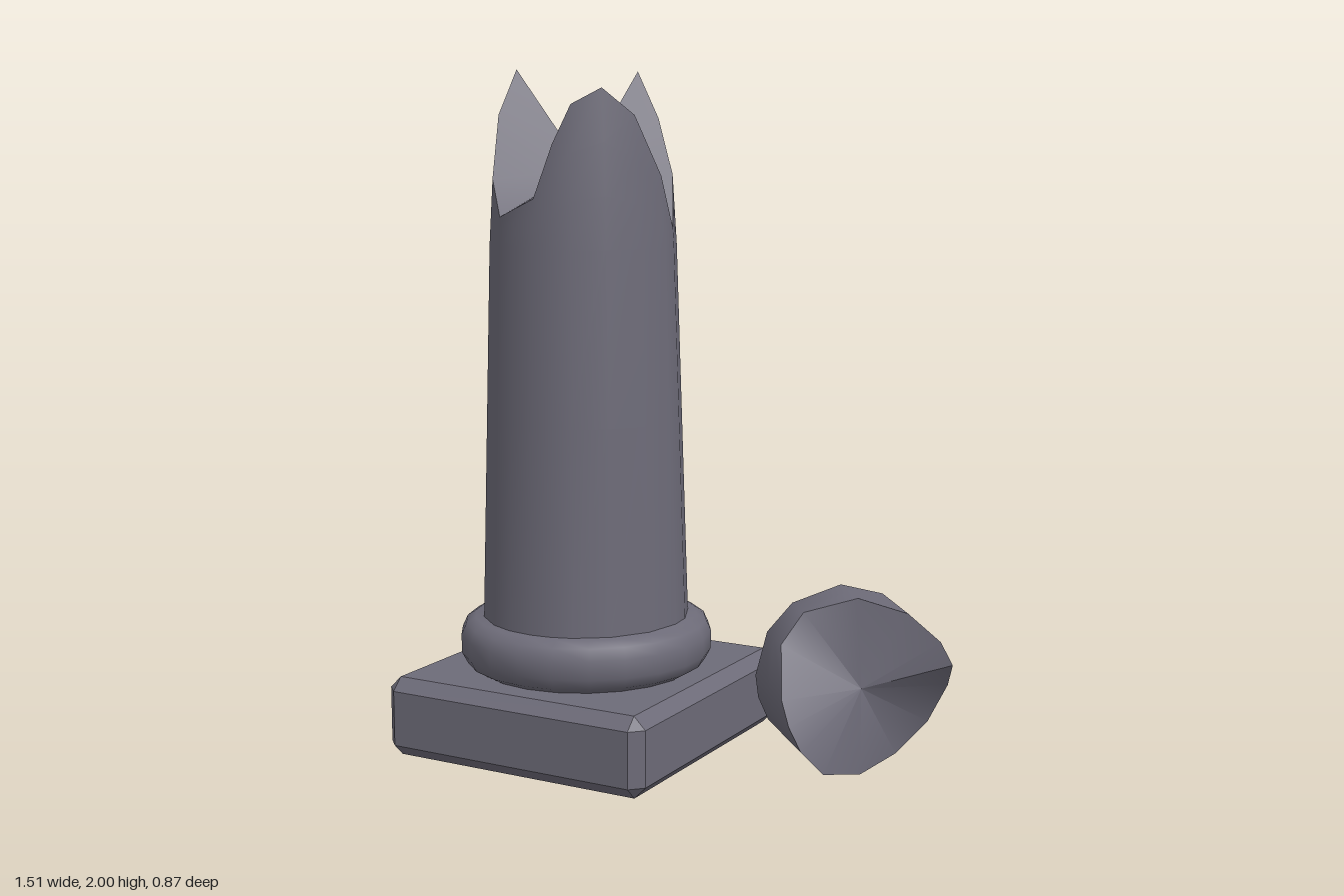
import * as THREE from 'three';
import { toCreasedNormals } from 'three/addons/utils/BufferGeometryUtils.js';
import { ConvexGeometry } from 'three/addons/geometries/ConvexGeometry.js';

const stone = new THREE.MeshStandardMaterial({ color: 0x6d6b78 });
stone.name = 'grey stone';

function add(parent, geometry, name) {
  const mesh = new THREE.Mesh(geometry, stone);
  mesh.name = name;
  parent.add(mesh);
  return mesh;
}

// Piecewise-linear lookup in a list of [key, value] pairs
function lookup(table, x) {
  const last = table.length - 1;
  if (x <= table[0][0]) return table[0][1];
  for (let i = 0; i < last; i++) {
    const [x0, y0] = table[i], [x1, y1] = table[i + 1];
    if (x <= x1) return y0 + (y1 - y0) * (x - x0) / (x1 - x0);
  }
  return table[last][1];
}

// Round drum along +y with a jagged end: rim is [angle in degrees, height],
// levels are fixed ring heights, the broken face is a fan round a centre point
function brokenDrum(rim, levels, radii, centreHeight, steps) {
  const n = rim.length, pos = [], index = [];
  const rings = levels.length + steps;
  const top = levels[levels.length - 1];
  for (let r = 0; r < rings; r++) {
    for (const [deg, h] of rim) {
      const a = THREE.MathUtils.degToRad(deg);
      const y = r < levels.length ? levels[r]
        : top + (h - top) * (r - levels.length + 1) / steps;
      const radius = lookup(radii, y);
      pos.push(radius * Math.cos(a), y, radius * Math.sin(a));
    }
  }
  const bottomCentre = rings * n, topCentre = bottomCentre + 1;
  pos.push(0, levels[0], 0, 0, centreHeight, 0);
  for (let i = 0; i < n; i++) {
    const j = (i + 1) % n;
    for (let r = 0; r < rings - 1; r++) {
      const a = r * n + i, b = r * n + j;
      index.push(a, a + n, b, b, a + n, b + n);
    }
    const e = (rings - 1) * n;
    index.push(bottomCentre, i, j, topCentre, e + j, e + i);
  }
  const g = new THREE.BufferGeometry();
  g.setAttribute('position', new THREE.Float32BufferAttribute(pos, 3));
  g.setIndex(index);
  return toCreasedNormals(g, 0.6);
}

// Box with every edge and corner cut off by c
function chamferedBox(w, h, d, c) {
  const points = [];
  for (const x of [-1, 1]) for (const y of [-1, 1]) for (const z of [-1, 1]) {
    for (let k = 0; k < 3; k++) {
      points.push(new THREE.Vector3(
        x * (w / 2 - (k === 0 ? 0 : c)),
        y * (h / 2 - (k === 1 ? 0 : c)),
        z * (d / 2 - (k === 2 ? 0 : c))));
    }
  }
  return new ConvexGeometry(points);
}

export function createModel() {
  const model = new THREE.Group();
  model.name = 'brokenColumn';

  const column = new THREE.Group();
  column.name = 'column';
  column.position.x = -0.325;
  model.add(column);

  // Square plinth
  add(column, chamferedBox(0.86, 0.235, 0.86, 0.036), 'plinth').position.y = 0.1325;

  // Rounded ring under the shaft
  const profile = [[0, 0.25], [0.325, 0.25], [0.355, 0.268], [0.372, 0.3], [0.373, 0.355],
    [0.358, 0.388], [0.33, 0.405], [0, 0.405]].map(([x, y]) => new THREE.Vector2(x, y));
  add(column, toCreasedNormals(new THREE.LatheGeometry(profile, 22), 0.7), 'baseRing');

  // Tapered shaft with three broken peaks
  const shaftRim = [[0, 1.7], [22, 1.87], [45, 1.945], [66, 1.9], [78, 1.79], [90, 1.64],
    [105, 1.61], [120, 1.585], [140, 1.69], [158, 1.87], [180, 2], [200, 1.87], [216, 1.72],
    [232, 1.58], [252, 1.74], [270, 1.85], [285, 1.995], [303, 1.86], [325, 1.7], [346, 1.55]];
  const shaftRadii = [[0.4, 0.305], [1.5, 0.272], [1.7, 0.26], [1.87, 0.245], [2, 0.224]];
  add(column, brokenDrum(shaftRim, [0.4, 1.0, 1.5], shaftRadii, 1.72, 3), 'shaft');

  // Broken-off drum lying on its side
  const pieceRim = [[0, 0.22], [30, 0.15], [60, 0.14], [90, 0.2], [125, 0.31], [148, 0.32],
    [165, 0.3], [180, 0.26], [210, 0.14], [235, 0.11], [270, 0.16], [300, 0.23],
    [325, 0.28], [342, 0.29]];
  const piece = add(model, brokenDrum(pieceRim, [0], [[0, 0.257], [0.3, 0.252]], 0.2, 2), 'fallenPiece');
  const axis = new THREE.Vector3(0.67, 0, 0.74).normalize();
  const side = new THREE.Vector3(axis.z, 0, -axis.x);
  piece.quaternion.setFromRotationMatrix(
    new THREE.Matrix4().makeBasis(side, axis, new THREE.Vector3(0, -1, 0)));
  piece.position.set(0.385, 0.258, -0.265);

  return model;
}
